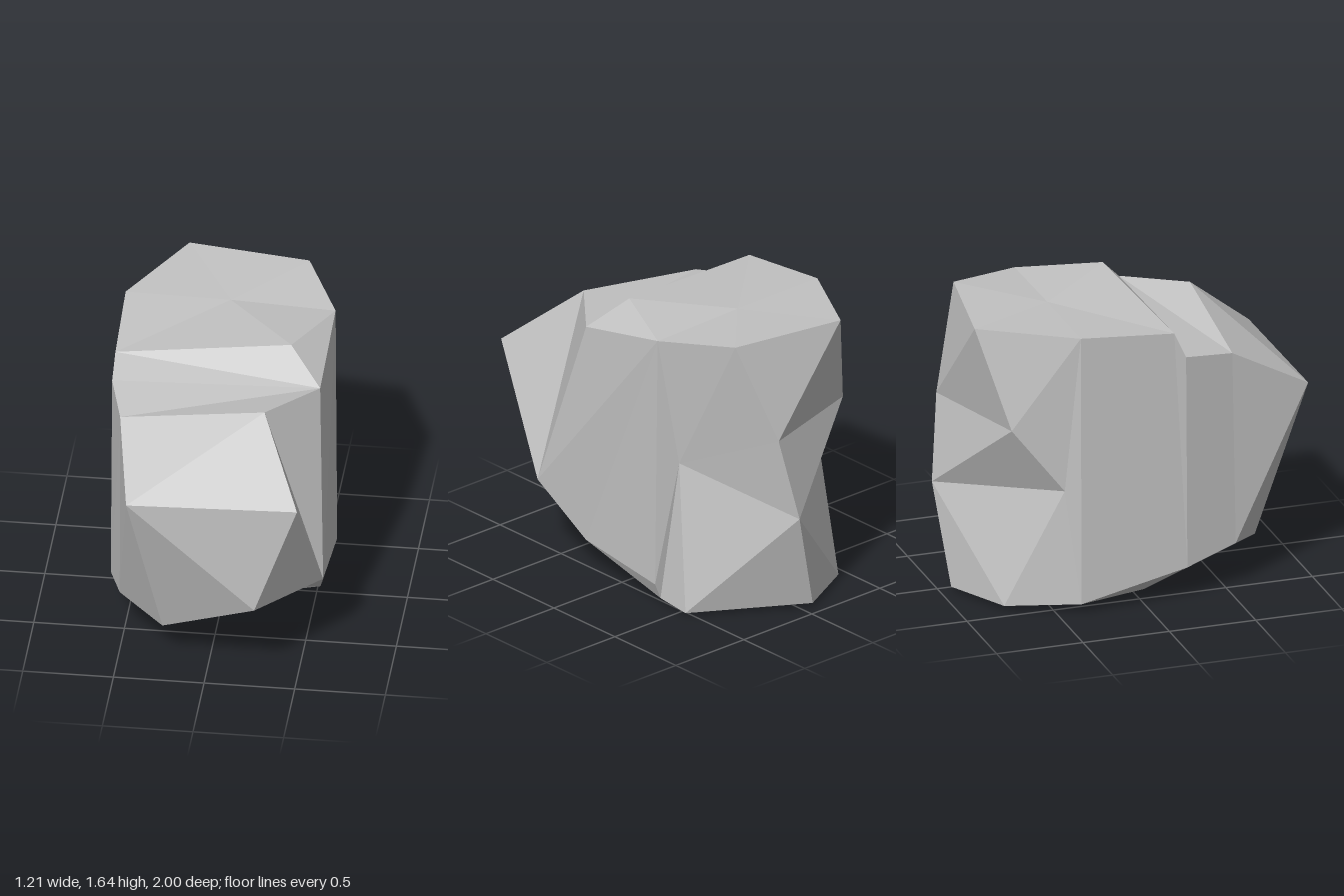
import * as THREE from 'three';

// Corners of the boulder, grouped by section from front to back
const P = {
  // front face
  frontTL: [-0.43, 1.12, 1.0], frontTR: [0.51, 1.135, 0.98], frontBR: [0.275, 0.485, 0.99], frontBL: [-0.26, 0.195, 0.75],
  // lower shoulder
  shoulderL: [-0.52, 1.39, 0.53], shoulderR: [0.28, 1.5, 0.56], cheekR: [0.605, 0.455, 0.575], chinL: [-0.52, 0.265, 0.55],
  // foot of the step
  stepL: [-0.6, 1.435, 0.235], stepR: [0.548, 1.475, 0.24], underR: [0.55, 0.19, 0.24], underL: [-0.607, 0.195, 0.24],
  // top of the step, front of the base
  crownL: [-0.59, 1.58, 0.17], crownR: [0.37, 1.645, 0.085], baseR: [0.15, 0, 0.07], baseL: [-0.42, 0.02, 0.05],
  // widest section, with the crack on the right
  ridgeL: [-0.6, 1.625, -0.375], ridgeR: [0.56, 1.6, -0.36], crackFoot: [0.57, 0.13, -0.35], crackBase: [0.53, 0.035, -0.35],
  topMid: [-0.02, 1.62, -0.37], baseMid: [0.34, 0.007, -0.14],
  heelL: [-0.6, 0.055, -0.37], crackIn: [0.455, 0.85, -0.42], hollow: [-0.54, 0.71, -0.447],
  // back
  topBackL: [-0.31, 1.64, -0.89], topBackR: [0.365, 1.645, -0.78], brow: [-0.47, 1.075, -0.73],
  heelR: [0.53, 0.015, -0.555], heelBackL: [-0.415, 0.025, -0.755], heelBack: [-0.06, 0.027, -0.94],
  backUpper: [0.19, 1.08, -0.94], backPeak: [0.09, 0.6, -1.0],
};

// Ten-corner loops: clockwise from top left; a repeated name merges corners
const LOOPS = [
  'frontTL frontTR frontTR frontTR frontBR frontBR frontBR frontBL frontBL frontTL',
  'shoulderL shoulderR shoulderR cheekR cheekR cheekR cheekR chinL chinL shoulderL',
  'stepL stepR stepR cheekR underR underR underR underL underL stepL',
  'crownL crownR crownR ridgeR underR baseR baseR baseL underL crownL',
  'ridgeL topMid ridgeR ridgeR crackFoot crackBase baseMid baseL heelL ridgeL',
  'ridgeL topMid ridgeR crackIn crackIn crackBase baseMid baseL heelL hollow',
  'topBackL topBackR topBackR crackIn crackIn heelR heelR heelBackL hollow brow',
  'backUpper backUpper backUpper backUpper backPeak backPeak backPeak heelBack backPeak backPeak',
].map((s) => s.split(' '));

// Quads (section, column) that fold along the other diagonal
const FLIPPED = new Set(['0,6', '0,8', '1,8', '2,0', '5,0', '5,7', '5,8', '5,9']);

function boulderGeometry() {
  const positions = [];
  const tri = (a, b, c) => {
    if (a !== b && b !== c && c !== a) positions.push(...P[a], ...P[b], ...P[c]);
  };
  // skin between neighbouring loops
  const count = LOOPS[0].length;
  for (let i = 0; i < LOOPS.length - 1; i++) {
    for (let c = 0; c < count; c++) {
      const n = (c + 1) % count;
      const [A, B, C, D] = [LOOPS[i][c], LOOPS[i][n], LOOPS[i + 1][n], LOOPS[i + 1][c]];
      if (FLIPPED.has(`${i},${c}`)) { tri(A, B, D); tri(B, C, D); }
      else { tri(A, B, C); tri(A, C, D); }
    }
  }
  // front cap
  for (let c = 1; c < count - 1; c++) tri(LOOPS[0][0], LOOPS[0][c + 1], LOOPS[0][c]);

  const geometry = new THREE.BufferGeometry();
  geometry.setAttribute('position', new THREE.Float32BufferAttribute(positions, 3));
  geometry.computeVertexNormals();
  return geometry;
}

export function createModel() {
  const stone = new THREE.MeshStandardMaterial({ color: 0xc2c2c2 });
  stone.name = 'stone grey';
  stone.flatShading = true;

  const boulder = new THREE.Mesh(boulderGeometry(), stone);
  boulder.name = 'boulder';

  const group = new THREE.Group();
  group.name = 'rock';
  group.add(boulder);
  return group;
}
